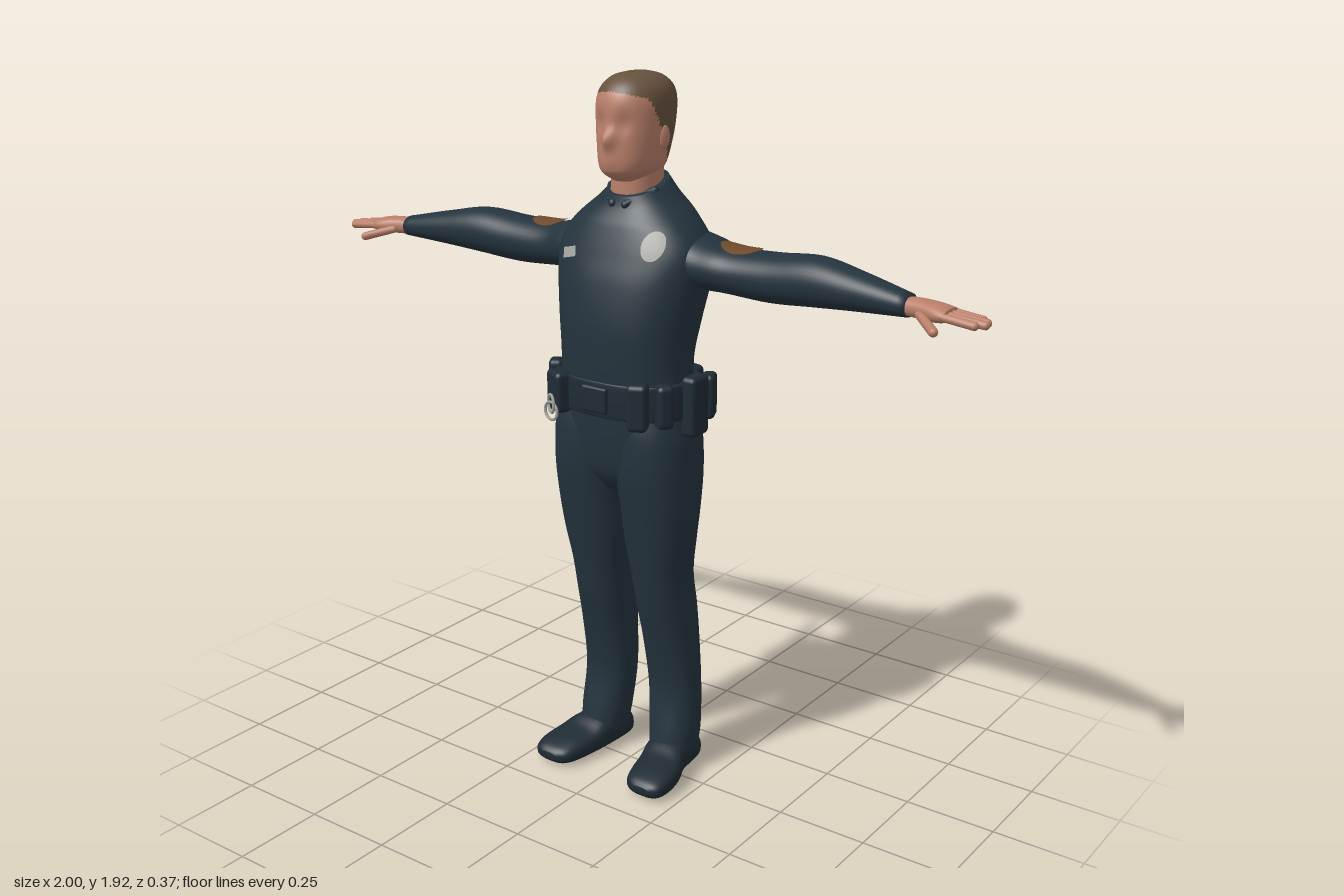
import * as THREE from 'three';
import { RoundedBoxGeometry } from 'three/addons/geometries/RoundedBoxGeometry.js';

const paint = (name, color) => Object.assign(new THREE.MeshStandardMaterial({ color }), { name });

// Smooth loft through sections [t, a0, a1, b0, b1]; t runs along the given axis
const AXES = { x: (t, a, b) => [t, b, a], y: (t, a, b) => [a, t, b], z: (t, a, b) => [b, a, t] };
function loft(axis, sections, { sides = 40, steps = 5, power = 2.3, warp } = {}) {
  const put = AXES[axis], pos = [], idx = [], last = sections.length - 1;
  const at = (i) => sections[Math.min(Math.max(i, 0), last)];
  const rings = last * steps + 1;
  const round = (v) => Math.sign(v) * Math.abs(v) ** (2 / power);
  const caps = [];
  for (let r = 0; r < rings; r++) {
    const i = Math.min(Math.floor(r / steps), last - 1), f = r / steps - i;
    const [t, a0, a1, b0, b1] = at(i).map((p, k) => {
      const p0 = at(i - 1)[k], q = at(i + 1)[k], q1 = at(i + 2)[k];
      return p + 0.5 * f * (q - p0 + f * (2 * p0 - 5 * p + 4 * q - q1 + f * (3 * (p - q) + q1 - p0)));
    });
    const ca = (a0 + a1) / 2, cb = (b0 + b1) / 2;
    for (let j = 0; j < sides; j++) {
      const w = (j / sides) * Math.PI * 2;
      pos.push(...put(t, ca + round(Math.cos(w)) * (a1 - a0) / 2, cb + round(Math.sin(w)) * (b1 - b0) / 2));
    }
    if (r === 0 || r === rings - 1) caps.push(put(t, ca, cb));
  }
  caps.forEach((c) => pos.push(...c));
  const top = (rings - 1) * sides, end = rings * sides;
  for (let j = 0; j < sides; j++) {
    const k = (j + 1) % sides;
    for (let r = 0; r < rings - 1; r++) {
      const p = r * sides + j, q = r * sides + k;
      idx.push(p, p + sides, q, q, p + sides, q + sides);
    }
    idx.push(end, j, k, end + 1, top + k, top + j);
  }
  const g = new THREE.BufferGeometry();
  g.setAttribute('position', new THREE.Float32BufferAttribute(pos, 3));
  g.setIndex(idx);
  if (warp) {
    const p = g.attributes.position, v = new THREE.Vector3();
    for (let i = 0; i < p.count; i++) {
      warp(v.fromBufferAttribute(p, i));
      p.setXYZ(i, v.x, v.y, v.z);
    }
  }
  g.computeVertexNormals();
  return g;
}

// Copy on the other side of the body, with corner order kept facing out
function mirrored(geo) {
  const g = geo.clone().scale(-1, 1, 1), a = g.index.array;
  for (let i = 0; i < a.length; i += 3) [a[i], a[i + 1]] = [a[i + 1], a[i]];
  g.computeVertexNormals();
  return g;
}

// Capsule between two points
function capsule(from, to, r) {
  const a = new THREE.Vector3(...from), b = new THREE.Vector3(...to), d = b.clone().sub(a);
  const g = new THREE.CapsuleGeometry(r, d.length(), 5, 12);
  g.applyQuaternion(new THREE.Quaternion().setFromUnitVectors(new THREE.Vector3(0, 1, 0), d.normalize()));
  const m = a.add(b).multiplyScalar(0.5);
  return g.translate(m.x, m.y, m.z);
}

// Lay a thin flat outline onto a target surface along a direction
function decal(geo, target, dir) {
  const p = geo.attributes.position, v = new THREE.Vector3(), ray = new THREE.Raycaster();
  for (let i = 0; i < p.count; i++) {
    v.fromBufferAttribute(p, i);
    ray.set(v, dir);
    const hit = ray.intersectObject(target)[0];
    if (hit) v.copy(hit.point).addScaledVector(dir, -0.005);
    p.setXYZ(i, v.x, v.y, v.z);
  }
  geo.computeVertexNormals();
  return geo;
}

export function createModel() {
  const model = new THREE.Group();
  model.name = 'officer';
  const navy = paint('navy cloth', 0x24333d), leather = paint('dark leather', 0x1f2b34);
  const skin = paint('skin', 0xb97f69), hair = paint('brown hair', 0x67513e);
  const metal = paint('badge metal', 0xa3a49d), emblem = paint('patch brown', 0x6e4a2c);
  const add = (name, geo, mat) => {
    const m = new THREE.Mesh(geo, mat);
    m.name = name;
    model.add(m);
    return m;
  };
  const pair = (name, geo, mat) => [add('left' + name, geo, mat), add('right' + name, mirrored(geo), mat)];
  const sym = (list) => list.map(([y, w, z0, z1]) => [y, -w, w, z0, z1]);

  // Shirt and hips; the collar rises toward the back
  const torso = add('torso', loft('y', sym([
    [0.84, 0.1, -0.06, 0.08], [0.9, 0.19, -0.105, 0.12], [1.0, 0.203, -0.117, 0.135], [1.1, 0.19, -0.115, 0.14],
    [1.2, 0.184, -0.115, 0.145], [1.3, 0.195, -0.14, 0.145], [1.4, 0.212, -0.16, 0.13], [1.47, 0.22, -0.16, 0.108],
    [1.52, 0.2, -0.155, 0.09], [1.57, 0.155, -0.145, 0.07], [1.61, 0.108, -0.125, 0.055], [1.645, 0.074, -0.112, 0.048],
  ]), { sides: 56, warp: (v) => { if (v.y > 1.55) v.y -= (v.z + 0.04) * 3.2 * (v.y - 1.55); } }), navy);

  // Collar wings
  pair('Collar', new THREE.BufferGeometry().copy(capsule([0.068, 1.63, -0.01], [0.02, 1.598, 0.05], 0.011)), navy);

  // Sleeves
  const sleeves = pair('Sleeve', loft('x', [
    [0.1, -0.14, 0.04, 1.42, 1.55], [0.2, -0.15, 0.042, 1.392, 1.525], [0.28, -0.142, 0.018, 1.385, 1.503],
    [0.4, -0.13, 0.015, 1.38, 1.505], [0.53, -0.115, 0.02, 1.39, 1.515], [0.65, -0.09, 0.02, 1.4, 1.495],
    [0.79, -0.053, 0.017, 1.41, 1.466],
  ], { power: 2.1 }), navy);

  // Hands
  pair('Palm', loft('x', [
    [0.77, -0.043, 0.008, 1.415, 1.458], [0.82, -0.046, 0.016, 1.413, 1.46],
    [0.87, -0.05, 0.032, 1.413, 1.456], [0.9, -0.048, 0.032, 1.418, 1.449],
  ], { sides: 24 }), skin);
  [[-0.038, 0.966, -0.036], [-0.018, 0.985, -0.015], [0.003, 0.99, 0.006], [0.022, 0.972, 0.026]].forEach(([z, x, z2], i) =>
    pair('Finger' + (i + 1), capsule([0.88, 1.435, z], [x, 1.426, z2], 0.0105), skin));
  pair('Thumb', capsule([0.83, 1.428, 0.012], [0.892, 1.408, 0.066], 0.0115), skin);

  // Trousers
  pair('TrouserLeg', loft('y', [
    [0.055, 0.06, 0.18, -0.112, 0.03], [0.12, 0.05, 0.187, -0.12, 0.02], [0.25, 0.036, 0.183, -0.125, 0.003],
    [0.4, 0.03, 0.18, -0.12, 0.03], [0.5, 0.025, 0.178, -0.113, 0.055], [0.6, 0.02, 0.18, -0.093, 0.075],
    [0.7, 0.009, 0.195, -0.09, 0.095], [0.8, 0.002, 0.205, -0.1, 0.112], [0.9, -0.008, 0.208, -0.113, 0.128],
    [1.0, -0.01, 0.204, -0.112, 0.13], [1.06, 0.01, 0.19, -0.1, 0.12],
  ]), navy);

  // Shoes, toes turned slightly out
  pair('Shoe', loft('z', [
    [-0.12, 0.012, 0.06, 0.085, 0.15], [-0.1, 0.001, 0.085, 0.066, 0.172], [0, 0.001, 0.1, 0.064, 0.19],
    [0.06, 0, 0.078, 0.075, 0.212], [0.12, 0, 0.067, 0.088, 0.22], [0.16, 0.006, 0.054, 0.105, 0.212],
    [0.176, 0.02, 0.04, 0.135, 0.185],
  ], { sides: 28, power: 2.6 }), leather);

  // Duty belt and buckle
  add('belt', loft('y', sym([
    [1.06, 0.198, -0.124, 0.15], [1.07, 0.204, -0.13, 0.155], [1.145, 0.202, -0.13, 0.156], [1.155, 0.196, -0.124, 0.152],
  ]), { sides: 56 }), leather);
  add('buckle', new RoundedBoxGeometry(0.08, 0.07, 0.016, 3, 0.007).translate(0, 1.108, 0.156), leather);

  // Belt pouches: x, y, z, width, height, depth, turn
  [
    [0.125, 1.105, 0.14, 0.055, 0.125, 0.05, 0.45], [0.175, 1.105, 0.095, 0.045, 0.115, 0.05, 0.9],
    [0.212, 1.095, 0.01, 0.075, 0.16, 0.045, 1.57], [0.2, 1.1, -0.07, 0.06, 0.12, 0.04, 2.0],
    [-0.13, 1.105, 0.14, 0.07, 0.11, 0.045, -0.45], [-0.185, 1.11, 0.08, 0.05, 0.12, 0.04, -1.0],
    [0.09, 1.105, -0.135, 0.085, 0.095, 0.05, 2.9], [0, 1.11, -0.14, 0.06, 0.085, 0.045, 3.14],
    [-0.09, 1.105, -0.132, 0.07, 0.09, 0.045, -2.9],
  ].forEach(([x, y, z, w, h, d, turn], i) => add('pouch' + (i + 1),
    new RoundedBoxGeometry(w, h, d, 3, 0.014).rotateY(turn).translate(x, y, z), leather));

  // Holster with sidearm grip pointing back
  add('holster', loft('y', [
    [0.92, -0.235, -0.205, -0.045, -0.005], [0.94, -0.242, -0.2, -0.055, 0.005], [1.04, -0.25, -0.2, -0.06, 0.01],
    [1.1, -0.268, -0.205, -0.062, 0.01], [1.125, -0.272, -0.225, -0.05, 0],
  ], { sides: 24, power: 3 }), leather);
  add('holsterStrap', new RoundedBoxGeometry(0.035, 0.15, 0.06, 3, 0.014).translate(-0.208, 1.112, -0.025), leather);
  add('sidearmGrip', capsule([-0.25, 1.1, -0.03], [-0.262, 1.118, -0.165], 0.016), leather);

  // Handcuffs
  [[1.055, 0.2], [1.075, 0.6]].forEach(([y, turn], i) => add('handcuff' + (i + 1),
    new THREE.TorusGeometry(0.024, 0.004, 6, 24).rotateY(-turn).translate(-0.134, y, 0.169), metal));

  // Neck and head; the head is split into skin and hair by a hairline rule
  add('neck', loft('y', sym([
    [1.56, 0.066, -0.105, 0.042], [1.62, 0.062, -0.1, 0.042], [1.72, 0.062, -0.1, 0.04],
  ]), { sides: 32 }), skin);
  const bump = (v, x, y, s) => Math.exp(-(((v.x - x) / s) ** 2) - ((v.y - y) / (s * 1.4)) ** 2);
  const headGeo = loft('y', sym([
    [1.655, 0.04, -0.08, 0.052], [1.675, 0.062, -0.1, 0.084], [1.7, 0.075, -0.113, 0.092], [1.75, 0.085, -0.126, 0.09],
    [1.8, 0.09, -0.137, 0.091], [1.85, 0.091, -0.14, 0.088], [1.885, 0.081, -0.13, 0.074],
    [1.91, 0.055, -0.1, 0.045], [1.92, 0.022, -0.06, 0.01],
  ]), {
    sides: 72, steps: 7, power: 2.15, warp: (v) => {
      if (v.z < 0.03) return;
      v.z += 0.022 * bump(v, 0, 1.762, 0.017) + 0.006 * bump(v, 0, 1.715, 0.022)
        - 0.009 * (bump(v, 0.036, 1.8, 0.02) + bump(v, -0.036, 1.8, 0.02));
    },
  });
  const hairline = (x, z) => {
    if (z > 0.03) return 1.878 - 2.5 * x * x;
    if (z > -0.02) return THREE.MathUtils.mapLinear(z, -0.02, 0.03, 1.765, 1.86);
    return THREE.MathUtils.clamp(THREE.MathUtils.mapLinear(z, -0.09, -0.03, 1.66, 1.755), 1.66, 1.765);
  };
  const hp = headGeo.attributes.position, ix = headGeo.index.array, parts = [[], []];
  for (let i = 0; i < ix.length; i += 3) {
    const f = [ix[i], ix[i + 1], ix[i + 2]];
    const mean = (get) => (hp[get](f[0]) + hp[get](f[1]) + hp[get](f[2])) / 3;
    parts[mean('getY') > hairline(mean('getX'), mean('getZ')) ? 1 : 0].push(...f);
  }
  headGeo.setIndex([...parts[0], ...parts[1]]);
  headGeo.addGroup(0, parts[0].length, 0);
  headGeo.addGroup(parts[0].length, parts[1].length, 1);
  add('head', headGeo, [skin, hair]);
  pair('Ear', new THREE.SphereGeometry(1, 14, 10).scale(0.008, 0.03, 0.017).rotateY(-0.25).translate(0.088, 1.765, -0.022), skin);

  // Chest badge, name plate and shoulder patches laid on the cloth
  const back = new THREE.Vector3(0, 0, -1), down = new THREE.Vector3(0, -1, 0);
  model.updateMatrixWorld(true);
  add('badge', decal(new THREE.RingGeometry(0, 1, 24, 4).scale(0.029, 0.036, 1).translate(0.126, 1.508, 0.5), torso, back), metal);
  add('namePlate', decal(new THREE.PlaneGeometry(0.05, 0.026, 6, 4).rotateZ(0.25).translate(-0.125, 1.467, 0.5), torso, back), metal);
  sleeves.forEach((sleeve, i) => add(i ? 'rightPatch' : 'leftPatch', decal(
    new THREE.RingGeometry(0, 1, 28, 6).scale(0.058, 0.04, 1).rotateX(-Math.PI / 2).translate(i ? -0.303 : 0.303, 1.8, -0.055),
    sleeve, down), emblem));
  return model;
}
